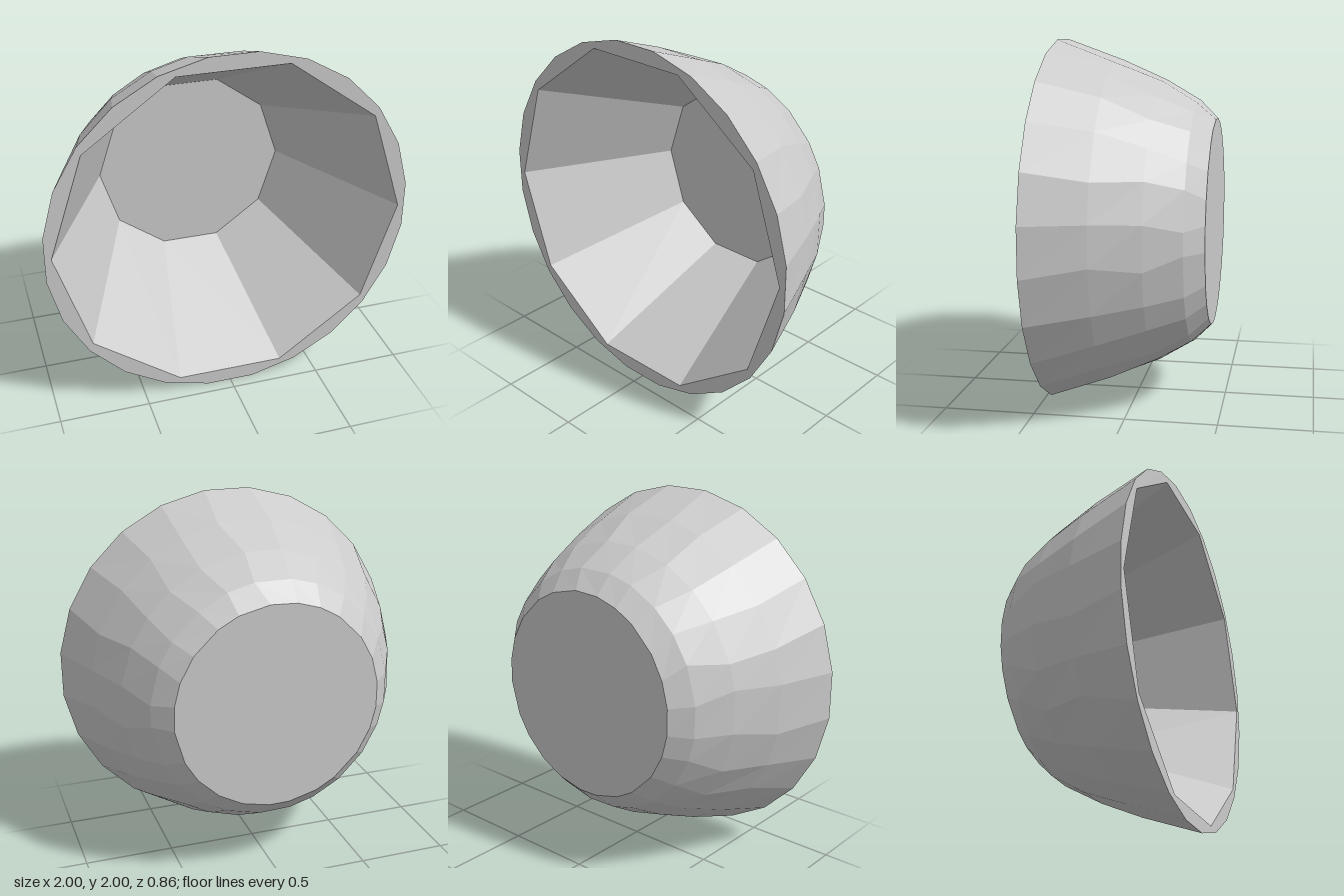
import * as THREE from 'three';

const SIDES = 24, INNER_SIDES = 10;
const FRONT = 0.43, FLOOR = -0.39;
const RIM_R = 1 / Math.cos(Math.PI / SIDES), INNER_R = 0.965, FLOOR_R = 0.545;

// Seeded noise in -1..1
function makeNoise(seed) {
  return () => {
    seed = (seed * 16807) % 2147483647;
    return (seed / 2147483647) * 2 - 1;
  };
}

function ring(sides, radius, offset) {
  return Array.from({ length: sides }, (_, i) => {
    const a = offset + (i / sides) * Math.PI * 2;
    return new THREE.Vector2(Math.cos(a) * radius, Math.sin(a) * radius);
  });
}

export function createModel() {
  const group = new THREE.Group();
  group.name = 'bowl';
  const material = new THREE.MeshStandardMaterial({
    color: 0xcccccc, flatShading: true, side: THREE.DoubleSide,
  });
  const add = (name, geometry) => {
    const mesh = new THREE.Mesh(geometry, material);
    mesh.name = name;
    mesh.position.y = 1;
    group.add(mesh);
  };

  // Outer shell with its flat back, slightly uneven like chipped facets
  const profile = [[0, -0.43], [0.575, -0.43], [0.675, -0.33], [0.785, -0.14], [0.895, 0.11], [RIM_R, FRONT]]
    .map(([r, z]) => new THREE.Vector2(r, z));
  const shell = new THREE.LatheGeometry(profile, SIDES, Math.PI / SIDES);
  const pos = shell.attributes.position, noise = makeNoise(77), n = profile.length;
  for (let j = 1; j < n - 1; j++) {
    const turns = Array.from({ length: SIDES }, () => noise() * 0.045);
    for (let i = 0; i <= SIDES; i++) {
      const a = Math.PI / SIDES + (i / SIDES) * Math.PI * 2 + turns[i % SIDES];
      pos.setXYZ(i * n + j, Math.sin(a) * profile[j].x, profile[j].y, Math.cos(a) * profile[j].x);
    }
  }
  shell.rotateX(Math.PI / 2);
  shell.computeVertexNormals();
  add('outerShell', shell);

  // Flat front rim between the round edge and the ten-sided opening
  const rim = new THREE.Shape(ring(SIDES, RIM_R, Math.PI / SIDES));
  rim.holes.push(new THREE.Path(ring(INNER_SIDES, INNER_R, 0)));
  add('rim', new THREE.ShapeGeometry(rim).translate(0, 0, FRONT));

  // Ten-sided tapering inner wall
  const wall = new THREE.CylinderGeometry(INNER_R, FLOOR_R, FRONT - FLOOR, INNER_SIDES, 1, true, Math.PI / 2);
  wall.rotateX(Math.PI / 2).translate(0, 0, (FRONT + FLOOR) / 2);
  add('innerWall', wall);

  // Inner floor
  add('innerFloor', new THREE.CircleGeometry(FLOOR_R, INNER_SIDES).translate(0, 0, FLOOR));

  return group;
}
